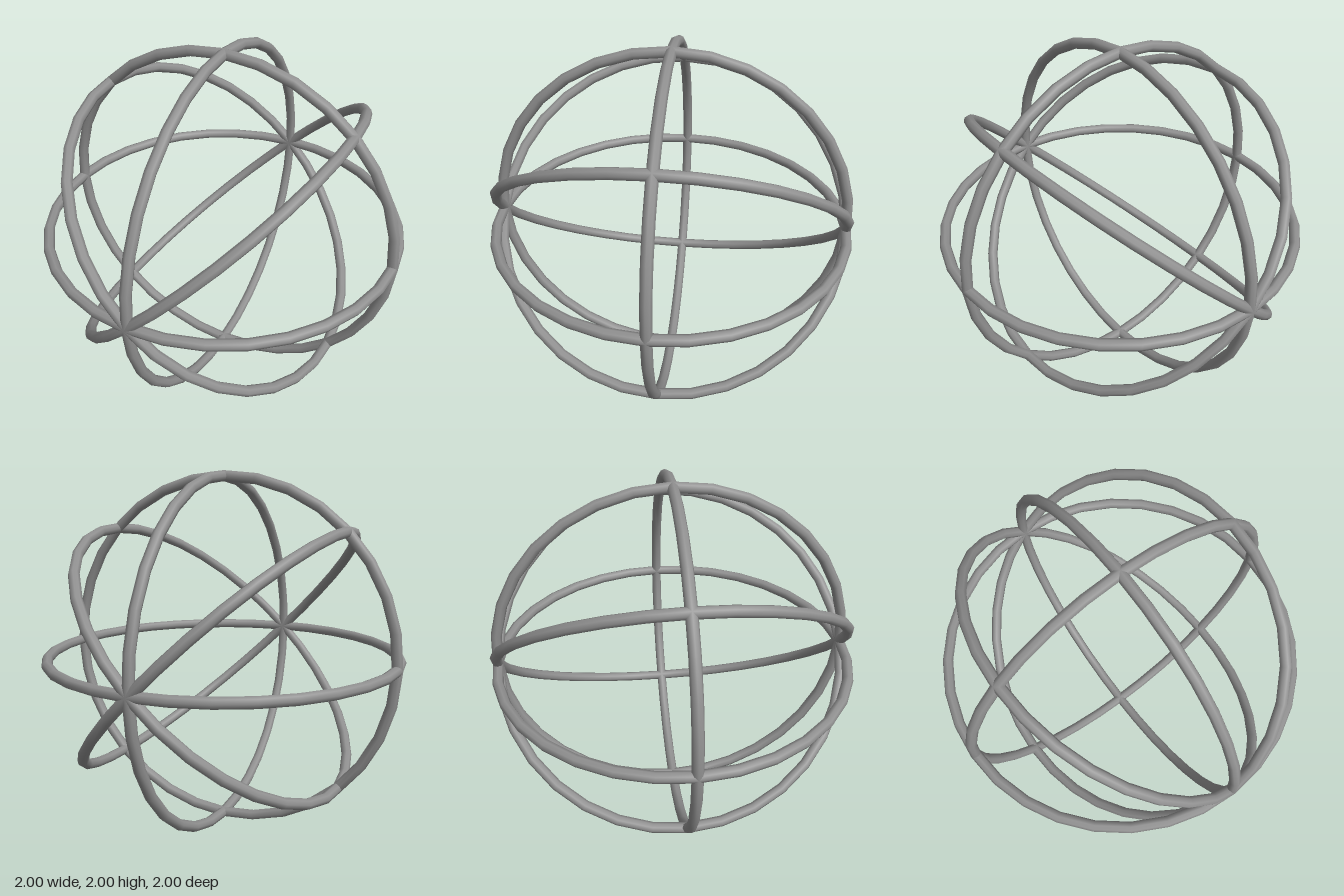
import * as THREE from 'three';

const TUBE = 0.029;
const RADIUS = 1 - TUBE;

export function createModel() {
  const model = new THREE.Group();
  model.name = 'ringSphere';
  const material = new THREE.MeshStandardMaterial({ color: 0x909090 });
  const geometry = new THREE.TorusGeometry(RADIUS, TUBE, 8, 32);

  const addRing = (name) => {
    const ring = new THREE.Mesh(geometry, material);
    ring.name = name;
    ring.position.y = 1;
    model.add(ring);
    return ring;
  };

  // Upright ring facing the front
  addRing('frontRing');

  // Four rings that cross at the front and back poles, 45 degrees apart
  const names = ['horizontalRing', 'risingLeftRing', 'sideRing', 'risingRightRing'];
  names.forEach((name, i) => {
    const ring = addRing(name);
    ring.rotation.order = 'ZXY';
    ring.rotation.set(Math.PI / 2, 0, (i * Math.PI) / 4);
  });

  return model;
}
